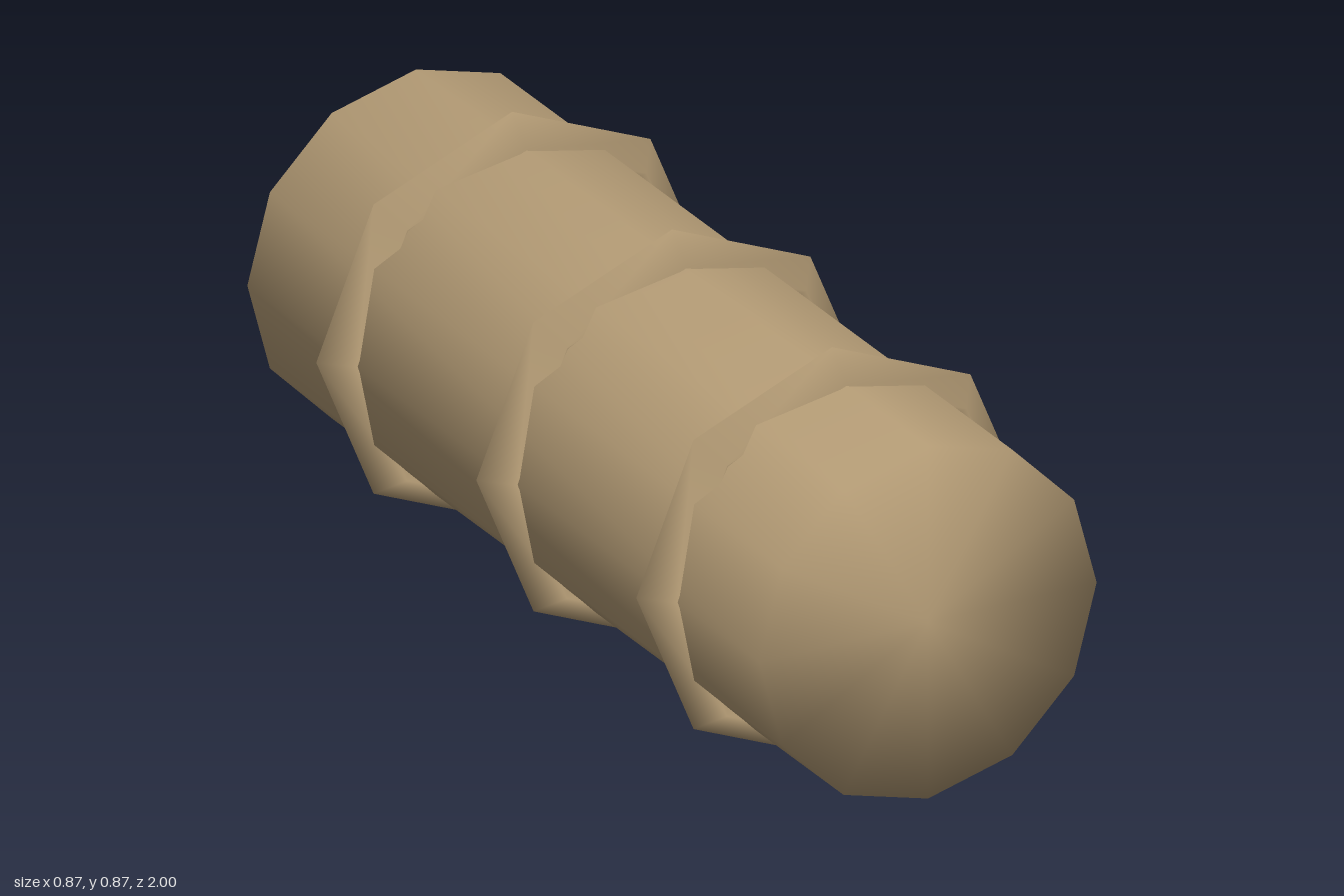
import * as THREE from 'three';
import { mergeVertices } from 'three/addons/utils/BufferGeometryUtils.js';

const CENTRE_Y = 0.435;

// Weld all corners so shading runs smoothly over the rims and end caps
function weldSmooth(geometry) {
  geometry.deleteAttribute('normal');
  geometry.deleteAttribute('uv');
  const welded = mergeVertices(geometry, 1e-4);
  welded.computeVertexNormals();
  return welded;
}

export function createModel() {
  const model = new THREE.Group();
  model.name = 'bandedLog';
  const material = new THREE.MeshStandardMaterial({ color: 0xb89f78 });

  // Twelve-sided log lying along z, closed at both ends
  const logGeometry = new THREE.CylinderGeometry(0.374, 0.374, 2, 12);
  logGeometry.rotateX(Math.PI / 2);
  const log = new THREE.Mesh(weldSmooth(logGeometry), material);
  log.name = 'log';
  log.position.y = CENTRE_Y;
  model.add(log);

  // Three eight-sided bands with a diamond cross-section
  const bandGeometry = weldSmooth(new THREE.TorusGeometry(0.376, 0.058, 4, 8));
  ['backBand', 'middleBand', 'frontBand'].forEach((name, i) => {
    const band = new THREE.Mesh(bandGeometry, material);
    band.name = name;
    band.position.set(0, CENTRE_Y, (i - 1) * 0.625);
    model.add(band);
  });

  return model;
}
